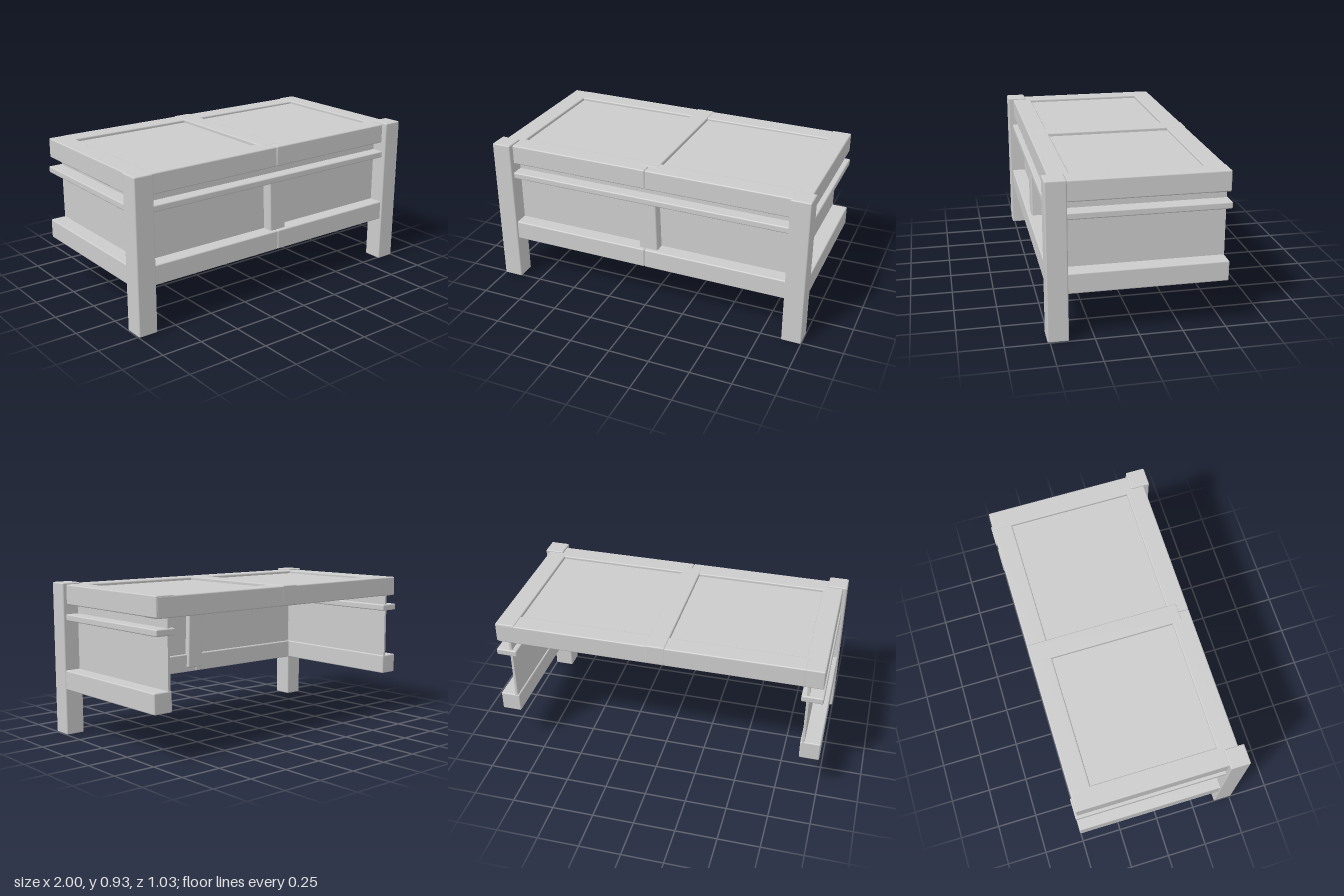
import * as THREE from 'three';
import { RoundedBoxGeometry } from 'three/addons/geometries/RoundedBoxGeometry.js';

const material = new THREE.MeshStandardMaterial({ color: 0xcccccc });

// Box given by its limits along x, y and z; a bevel of 0 leaves sharp edges
function bar(parent, name, [x0, x1], [y0, y1], [z0, z1], bevel = 0.008) {
  const size = [x1 - x0, y1 - y0, z1 - z0];
  const geometry = bevel > 0
    ? new RoundedBoxGeometry(...size, 2, bevel)
    : new THREE.BoxGeometry(...size);
  const mesh = new THREE.Mesh(geometry, material);
  mesh.name = name;
  mesh.position.set((x0 + x1) / 2, (y0 + y1) / 2, (z0 + z1) / 2);
  parent.add(mesh);
  return mesh;
}

export function createModel() {
  const model = new THREE.Group();
  model.name = 'table';

  const topY = [0.797, 0.918];
  const lowY = [0.28, 0.4];
  const ledgeY = [0.7, 0.74];

  for (const side of [-1, 1]) {
    const label = side > 0 ? 'left' : 'right';
    const span = (a, b) => (side > 0 ? [a, b] : [-b, -a]);

    // Front leg and the rails running back from it
    bar(model, label + 'FrontLeg', span(0.88, 1), [0, 0.928], [0.395, 0.515]);
    bar(model, label + 'TopSideRail', span(0.855, 0.975), topY, [-0.507, 0.42]);
    bar(model, label + 'LowerSideRail', span(0.875, 0.995), lowY, [-0.507, 0.42]);
    bar(model, label + 'SideLedge', span(0.855, 0.982), ledgeY, [-0.515, 0.42]);
    bar(model, label + 'SidePanel', span(0.885, 0.9), [0.34, 0.83], [-0.505, 0.42], 0);

    // Front rails, each meeting its twin in the middle
    bar(model, label + 'TopFrontRail', span(0, 0.9), topY, [0.36, 0.48]);
    bar(model, label + 'LowerFrontRail', span(0, 0.9), lowY, [0.385, 0.502]);

    // Recessed top panel
    bar(model, label + 'TopPanel', span(0.03, 0.9), [0.885, 0.9], [-0.42, 0.39], 0);
  }

  // Front ledge and panel
  bar(model, 'frontLedge', [-0.9, 0.9], ledgeY, [0.36, 0.49]);
  bar(model, 'frontPanel', [-0.9, 0.9], [0.34, 0.83], [0.4, 0.415], 0);

  // Slightly leaning middle post
  const post = bar(model, 'frontPost', [-0.042, 0.074], [0.31, 0.72], [0.365, 0.478]);
  post.rotation.z = 0.03;

  // Back rail and the middle beam of the top
  const backRail = bar(model, 'topBackRail', [-0.87, 0.968], [0.796, 0.916], [-0.508, -0.388]);
  backRail.rotation.z = -0.003;
  bar(model, 'topMiddleBeam', [-0.062, 0.056], [0.8, 0.92], [-0.509, 0.42]);

  return model;
}
